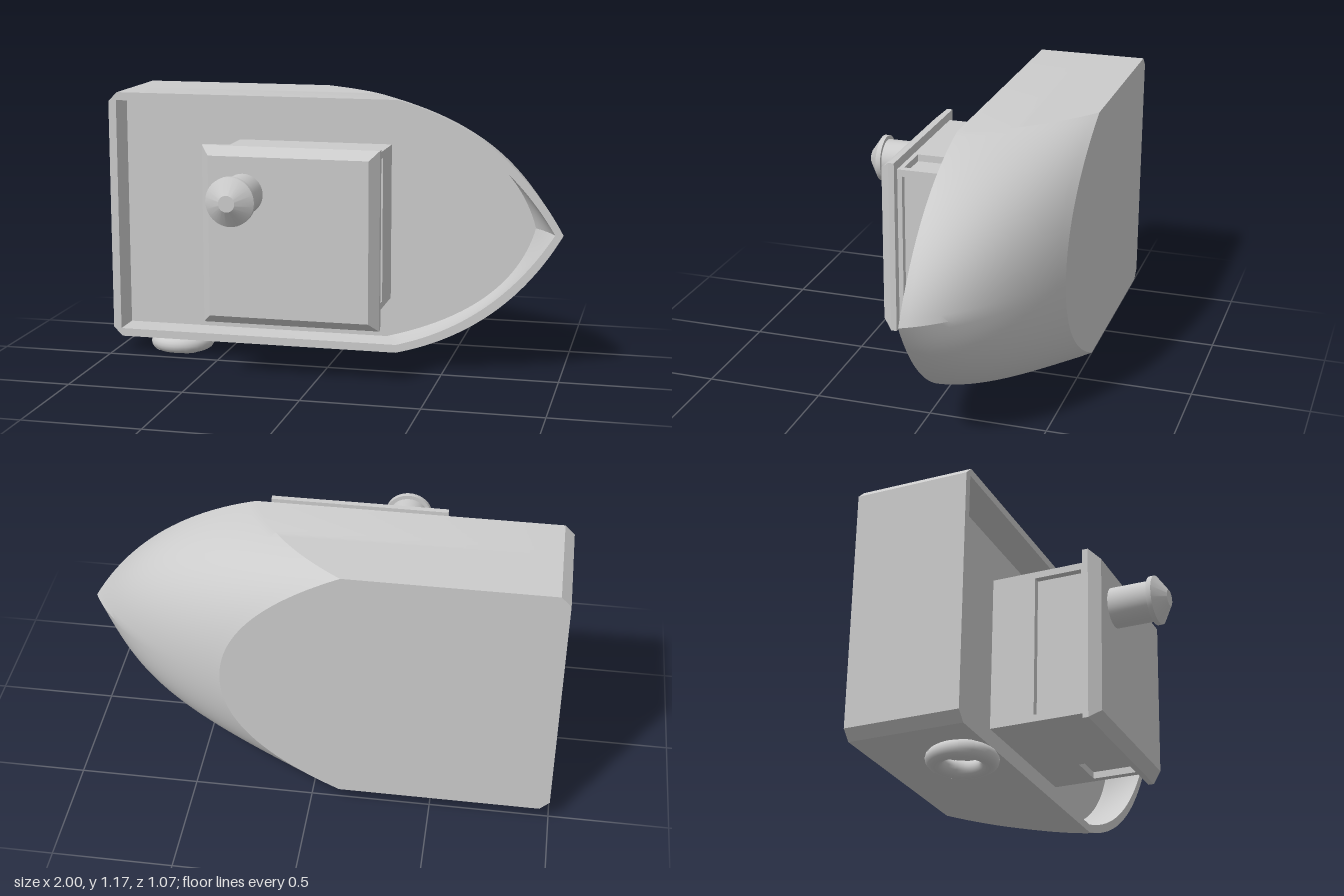
import * as THREE from 'three';
import { toCreasedNormals } from 'three/addons/utils/BufferGeometryUtils.js';

const grey = new THREE.MeshStandardMaterial({ color: 0xcccccc });
const CY = 0.62; // height of the boat's centre line
const lerp = THREE.MathUtils.lerp;
const bez = (a, b, c, t) => a * (1 - t) ** 2 + 2 * b * t * (1 - t) + c * t * t;

function add(parent, name, geometry, x = 0, y = 0, z = 0) {
  const mesh = new THREE.Mesh(geometry, grey);
  mesh.name = name;
  mesh.position.set(x, y, z);
  parent.add(mesh);
  return mesh;
}

// One closed hull outline; t runs from the flat bottom (0) to the rim (1)
function hullLoop(t, inset, chamfer) {
  const N = 28;
  const z = bez(-0.534, -0.33, -0.053, t);
  const half = 0.55 - inset;
  const stern = -1 + inset;
  const start = bez(-0.12, 0.185, 0.29, t);
  const tip = bez(0.37, 0.86, 1, t) - inset;
  const ctrlX = tip - 0.24 * t ** 3;
  const ctrlY = lerp(0.32, 0.43, t) - inset;
  const side = [[stern, half - chamfer], [stern + chamfer, half]];
  for (let i = 0; i <= N; i++) {
    const s = i / N;
    side.push([bez(start, ctrlX, tip, s), bez(half, ctrlY, 0, s)]);
  }
  const lower = side.map(([x, h]) => [x, CY - h, z]);
  const upper = side.slice(0, -1).reverse().map(([x, h]) => [x, CY + h, z]);
  return [...lower, ...upper];
}

// Skin through closed loops with equal point counts
function loft(loops, crease) {
  const n = loops[0].length;
  const index = [];
  for (let r = 0; r < loops.length - 1; r++) {
    for (let i = 0; i < n; i++) {
      const j = (i + 1) % n;
      const a = r * n + i, b = r * n + j, c = a + n, d = b + n;
      if (r > 0) index.push(a, b, d);
      if (r < loops.length - 2) index.push(a, d, c);
      else if (r === 0) index.push(a, d, c);
    }
  }
  const g = new THREE.BufferGeometry();
  g.setAttribute('position', new THREE.Float32BufferAttribute(loops.flat(2), 3));
  g.setIndex(index);
  return toCreasedNormals(g, crease);
}

function buildHull() {
  const loops = [];
  const centre = (loop) => loop.map((p) => [-0.1, CY, p[2]]);
  for (let i = 0; i <= 20; i++) loops.push(hullLoop(i / 20, 0, 0.04));
  loops.unshift(centre(loops[0]));
  // Inside walls down to the deck
  for (let i = 0; i <= 6; i++) loops.push(hullLoop(lerp(1, 0.742, i / 6), 0.035, 0.001));
  loops.push(centre(loops[loops.length - 1]));
  return loft(loops, 0.35);
}

// Flat wall with a rectangular opening, thickness along local +z
function wallGeometry(u0, u1, v0, v1, hole, depth) {
  const rect = (Type, a, b, c, d) => {
    const s = new Type();
    s.moveTo(a, c).lineTo(b, c).lineTo(b, d).lineTo(a, d).closePath();
    return s;
  };
  const shape = rect(THREE.Shape, u0, u1, v0, v1);
  shape.holes.push(rect(THREE.Path, ...hole));
  return new THREE.ExtrudeGeometry(shape, { depth, bevelEnabled: false });
}

function buildCabin() {
  const cabin = new THREE.Group();
  cabin.name = 'cabin';
  const D = 0.03, H = 0.34, Z0 = -0.2, Z1 = 0.23;
  add(cabin, 'cabinCore', new THREE.BoxGeometry(2 * (H - D), 2 * (H - D), Z1 - Z0), 0, 0, (Z0 + Z1) / 2);

  // Front and back walls with a wide window
  for (const s of [1, -1]) {
    const g = wallGeometry(-H, H, Z0, Z1, [-0.31, 0.31, 0, 0.205], D);
    g.applyMatrix4(new THREE.Matrix4().makeBasis(
      new THREE.Vector3(0, s, 0), new THREE.Vector3(0, 0, 1), new THREE.Vector3(s, 0, 0)));
    add(cabin, s > 0 ? 'forwardWall' : 'aftWall', g, s * (H - D));
  }
  // Side walls with a small window near the bow
  for (const s of [1, -1]) {
    const hole = s > 0 ? [-0.31, -0.14, 0, 0.205] : [0.14, 0.31, 0, 0.205];
    const g = wallGeometry(-H, H, Z0, Z1, hole, D);
    g.applyMatrix4(new THREE.Matrix4().makeBasis(
      new THREE.Vector3(-s, 0, 0), new THREE.Vector3(0, 0, 1), new THREE.Vector3(0, s, 0)));
    add(cabin, s > 0 ? 'upperSideWall' : 'lowerSideWall', g, 0, s * (H - D));
  }

  // Roof slab with a bevelled edge
  const square = (h, z) => [[-h, -h, z], [h, -h, z], [h, h, z], [-h, h, z]];
  const roof = [square(0, 0.225), square(0.378, 0.225), square(0.378, 0.25), square(0.34, 0.294), square(0, 0.294)];
  add(cabin, 'roof', loft(roof, 0.2));
  cabin.position.set(-0.1, CY, 0);
  return cabin;
}

function buildFunnel() {
  const profile = [[0, 0.28], [0.085, 0.28], [0.085, 0.466], [0.102, 0.466], [0.102, 0.487], [0.034, 0.534], [0, 0.534]];
  const g = new THREE.LatheGeometry(profile.map(([r, y]) => new THREE.Vector2(r, y)), 40);
  g.rotateX(Math.PI / 2);
  return toCreasedNormals(g, 0.4);
}

// Ring buoy with four wrapped bands
function buildBuoy() {
  const buoy = new THREE.Group();
  buoy.name = 'ringBuoy';
  const R = 0.106;
  add(buoy, 'ring', new THREE.TorusGeometry(R, 0.0355, 16, 40).rotateX(Math.PI / 2));
  for (let i = 0; i < 4; i++) {
    const band = new THREE.TorusGeometry(R, 0.0375, 16, 8, 0.45);
    band.rotateX(Math.PI / 2).rotateY(Math.PI / 4 + i * Math.PI / 2);
    add(buoy, 'band', band).material = new THREE.MeshStandardMaterial({ color: 0xcccccc, side: THREE.DoubleSide });
  }
  buoy.position.set(-0.713, 0.0375, -0.175);
  return buoy;
}

export function createModel() {
  const boat = new THREE.Group();
  boat.name = 'boat';
  add(boat, 'hull', buildHull());
  boat.add(buildCabin());
  add(boat, 'funnel', buildFunnel(), -0.29, 0.805, 0);
  boat.add(buildBuoy());
  return boat;
}
